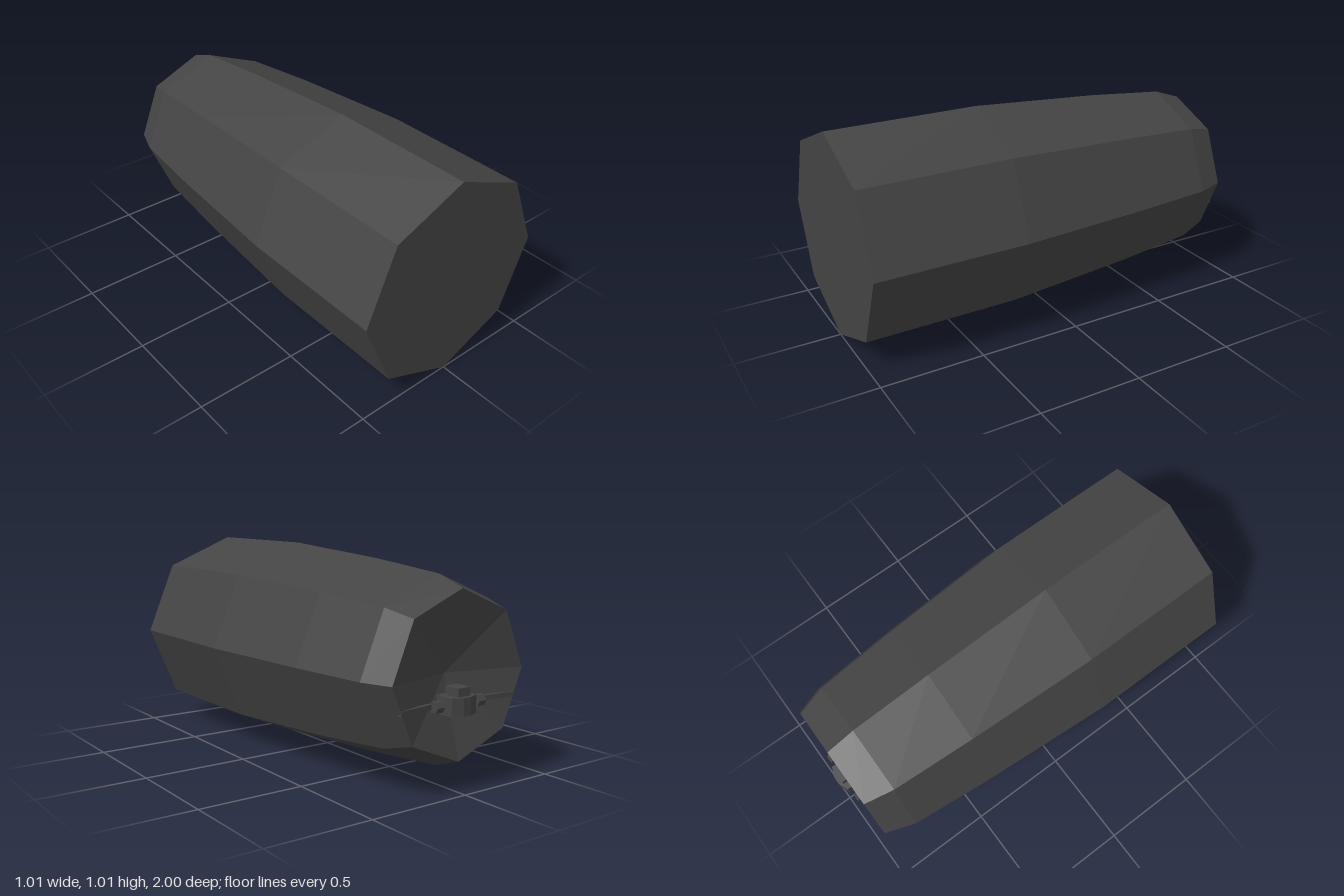
import * as THREE from 'three';

export function createModel() {
  const group = new THREE.Group();
  const material = new THREE.MeshStandardMaterial({ color: 0x444444, flatShading: true });
  const centreY = 0.507;

  function add(geometry, name, x = 0, y = 0, z = 0) {
    const mesh = new THREE.Mesh(geometry, material);
    mesh.name = name;
    mesh.position.set(x, y, z);
    group.add(mesh);
    return mesh;
  }

  // Eight-sided tapered shell with a flat front and a hollowed back: [radius, z]
  const profile = [
    [0, -0.855], [0.37, -0.955], [0.42, -0.81], [0.46, -0.4],
    [0.505, 0.26], [0.505, 1], [0, 1],
  ].map(([r, z]) => new THREE.Vector2(r, z));
  const shell = new THREE.LatheGeometry(profile, 8);
  shell.rotateX(Math.PI / 2);
  add(shell, 'shell', 0, centreY, 0);

  // Central housing: bevelled plan, sunk into the hollow
  const plan = new THREE.Shape([
    [-0.07, 0.1], [-0.07, -0.02], [-0.02, -0.04], [0.02, -0.04], [0.07, -0.02], [0.07, 0.1],
  ].map(([x, z]) => new THREE.Vector2(x, z)));
  const housing = new THREE.ExtrudeGeometry(plan, { depth: 0.08, bevelEnabled: false });
  housing.rotateX(Math.PI / 2);
  add(housing, 'centralHousing', 0, 0.425, -0.96);

  // Cap block and lower foot of the housing
  add(new THREE.BoxGeometry(0.07, 0.045, 0.08), 'housingCap', 0, 0.44, -0.94);
  add(new THREE.CylinderGeometry(0.05, 0.03, 0.03, 6), 'housingFoot', 0, 0.355, -0.94);

  // Mirrored knobs and the thin arms reaching to the rim
  for (const side of [-1, 1]) {
    const knob = add(new THREE.CylinderGeometry(0.027, 0.027, 0.04, 6), 'knob', side * 0.12, 0.39, -0.945);
    knob.rotation.z = Math.PI / 2;
    const arm = add(new THREE.BoxGeometry(0.27, 0.022, 0.02), 'arm', side * 0.19, 0.39, -0.93);
    arm.rotation.y = side * 0.12;
  }
  return group;
}
